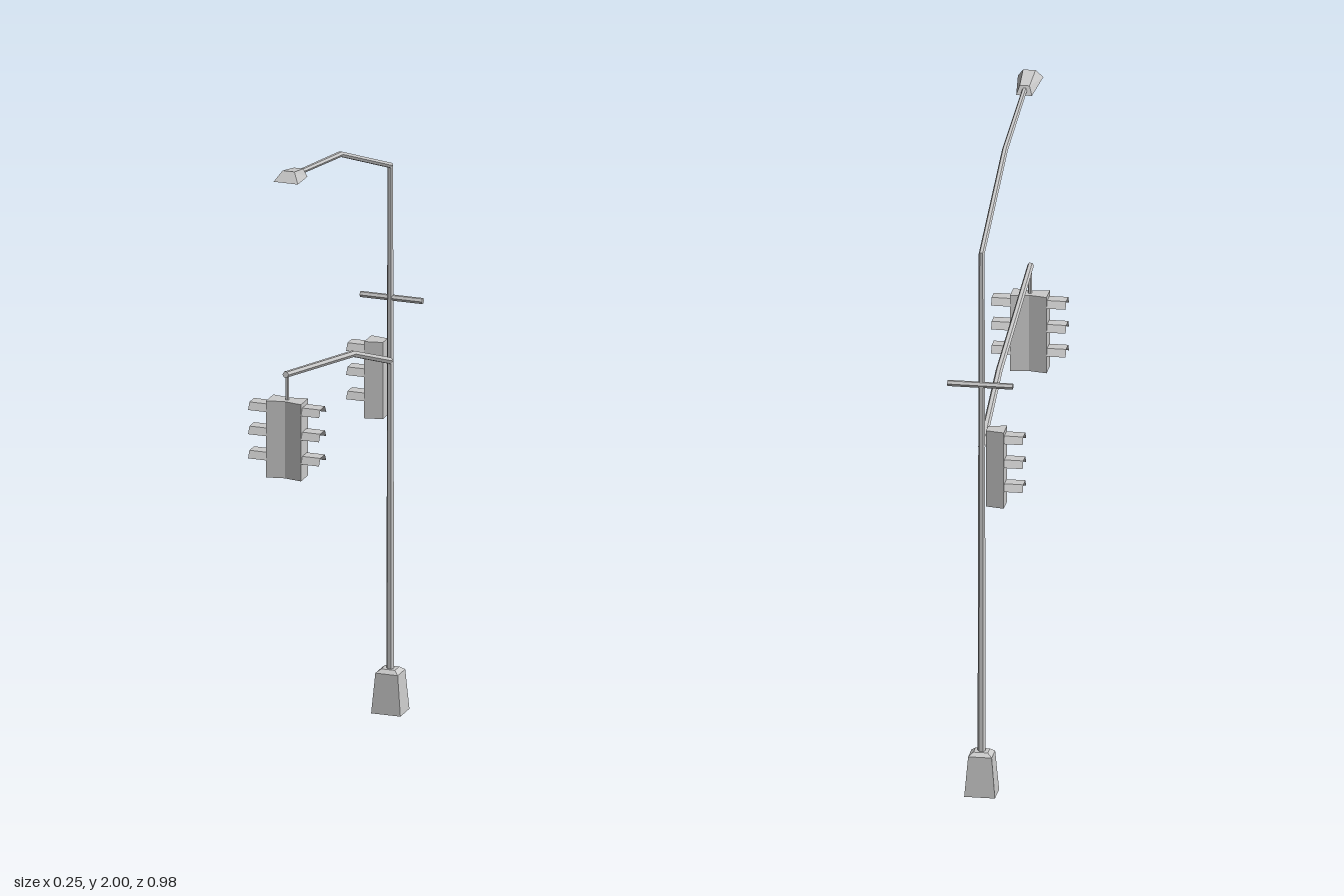
import * as THREE from 'three';

const X = 0.007, Z = -0.45; // post position
const V = (x, y, z) => new THREE.Vector3(x, y, z);
const material = new THREE.MeshStandardMaterial({ color: 0xcccccc, flatShading: true });
const sheet = material.clone();
sheet.side = THREE.DoubleSide;

// Skins a row of rings, each counter-clockwise about the row's direction;
// an open one has no first cap and shows its inside
function loft(name, rings, open = false) {
  const n = rings[0].length, pos = [];
  const tri = (...pts) => pts.forEach(p => pos.push(p.x, p.y, p.z));
  for (let i = 0; i < rings.length - 1; i++) {
    for (let j = 0; j < n; j++) {
      const k = (j + 1) % n, a = rings[i], b = rings[i + 1];
      tri(a[j], a[k], b[k]);
      tri(a[j], b[k], b[j]);
    }
  }
  const first = rings[0], last = rings[rings.length - 1];
  for (let j = 1; j < n - 1; j++) {
    if (!open) tri(first[0], first[j + 1], first[j]);
    tri(last[0], last[j], last[j + 1]);
  }
  const g = new THREE.BufferGeometry();
  g.setAttribute('position', new THREE.Float32BufferAttribute(pos, 3));
  g.computeVertexNormals();
  const mesh = new THREE.Mesh(g, open ? sheet : material);
  mesh.name = name;
  return mesh;
}

// Hexagonal pipe with mitred bends along [z, y, radius] stations
function pipe(name, stations) {
  const pts = stations.map(([z, y]) => V(X, y, z)), last = pts.length - 1;
  const dir = i => pts[i + 1].clone().sub(pts[i]).normalize();
  const rings = pts.map((p, i) => {
    const before = dir(Math.max(i - 1, 0)), after = dir(Math.min(i, last - 1));
    const t = before.clone().add(after).normalize();
    const up = t.clone().cross(V(1, 0, 0)).divideScalar(t.dot(before));
    const r = stations[i][2];
    return Array.from({ length: 6 }, (_, k) => {
      const a = k * Math.PI / 3;
      return p.clone().add(V(r * Math.cos(a), 0, 0)).addScaledVector(up, r * Math.sin(a));
    });
  });
  return loft(name, rings);
}

// Three-light signal head facing +x, its narrow back at x = 0, centred in y
function signalHead(name) {
  const g = new THREE.Group();
  g.name = name;
  const h = 0.122, depth = 0.056;
  const ring = (x, w) => [V(x, h, w), V(x, -h, w), V(x, -h, -w), V(x, h, -w)];
  g.add(loft('signalHousing', [ring(0, 0.021), ring(depth, 0.032)]));

  // Folded hood: flat top with sloping sides, open below
  const profile = [[-0.032, -0.022], [-0.02, 0], [0.02, 0], [0.032, -0.022]];
  const pos = [];
  for (let i = 0; i < 3; i++) {
    const [z0, y0] = profile[i], [z1, y1] = profile[i + 1];
    const a = [0, y0, z0], b = [0, y1, z1], c = [0.058, y1, z1], d = [0.058, y0, z0];
    pos.push(...a, ...b, ...c, ...a, ...c, ...d);
  }
  const hood = new THREE.BufferGeometry();
  hood.setAttribute('position', new THREE.Float32BufferAttribute(pos, 3));
  hood.computeVertexNormals();
  for (let i = 0; i < 3; i++) {
    const m = new THREE.Mesh(hood, sheet);
    m.name = 'visor';
    m.position.set(depth, 0.108 - i * 0.077, 0);
    g.add(m);
  }
  return g;
}

export function createModel() {
  const model = new THREE.Group();
  model.name = 'streetLightWithSignals';

  // Tapered foot with a bevelled top, hollow underneath
  const foot = [[0, 0.047, 0.04], [0.127, 0.036, 0.033], [0.138, 0.022, 0.02]];
  model.add(loft('base', foot.map(([y, w, d]) => [
    V(X + w, y, Z + d), V(X + w, y, Z - d), V(X - w, y, Z - d), V(X - w, y, Z + d)]), true));

  // Post bending into the lamp arm
  model.add(pipe('postAndLampArm', [
    [Z, 0.13, 0.0125], [Z, 1.737, 0.009], [-0.01, 1.911, 0.009], [0.37, 1.97, 0.008]]));

  // Lamp head, flaring toward its tip and wider below
  const lampRing = (topZ, topY, topW, lowZ, lowY, lowW) => [
    V(X + topW, topY, topZ), V(X - topW, topY, topZ),
    V(X - lowW, lowY, lowZ), V(X + lowW, lowY, lowZ)];
  model.add(loft('lampHead', [
    lampRing(0.358, 1.982, 0.015, 0.347, 1.954, 0.024),
    lampRing(0.447, 2.0, 0.019, 0.472, 1.97, 0.039)]));

  // Signal arm and the short drop pipe at its end
  model.add(pipe('signalArm', [[Z, 1.115, 0.011], [-0.12, 1.241, 0.0105], [0.473, 1.361, 0.01]]));
  model.add(pipe('signalHanger', [[0.459, 1.27, 0.006], [0.459, 1.355, 0.006]]));

  // Hanging pair, back to back
  for (const turn of [0, Math.PI]) {
    const head = signalHead('hangingSignal');
    head.position.set(X, 1.155, 0.459);
    head.rotation.y = turn;
    model.add(head);
  }

  // Single head on the post, facing the right side
  const postSignal = signalHead('postSignal');
  postSignal.position.set(-0.01, 1.055, -0.452);
  postSignal.rotation.y = Math.PI;
  model.add(postSignal);

  // Crossbar
  const bar = new THREE.Mesh(new THREE.CylinderGeometry(0.0095, 0.0095, 0.2, 6), material);
  bar.name = 'crossbar';
  bar.rotation.z = Math.PI / 2;
  bar.position.set(0.011, 1.316, -0.452);
  model.add(bar);

  return model;
}
